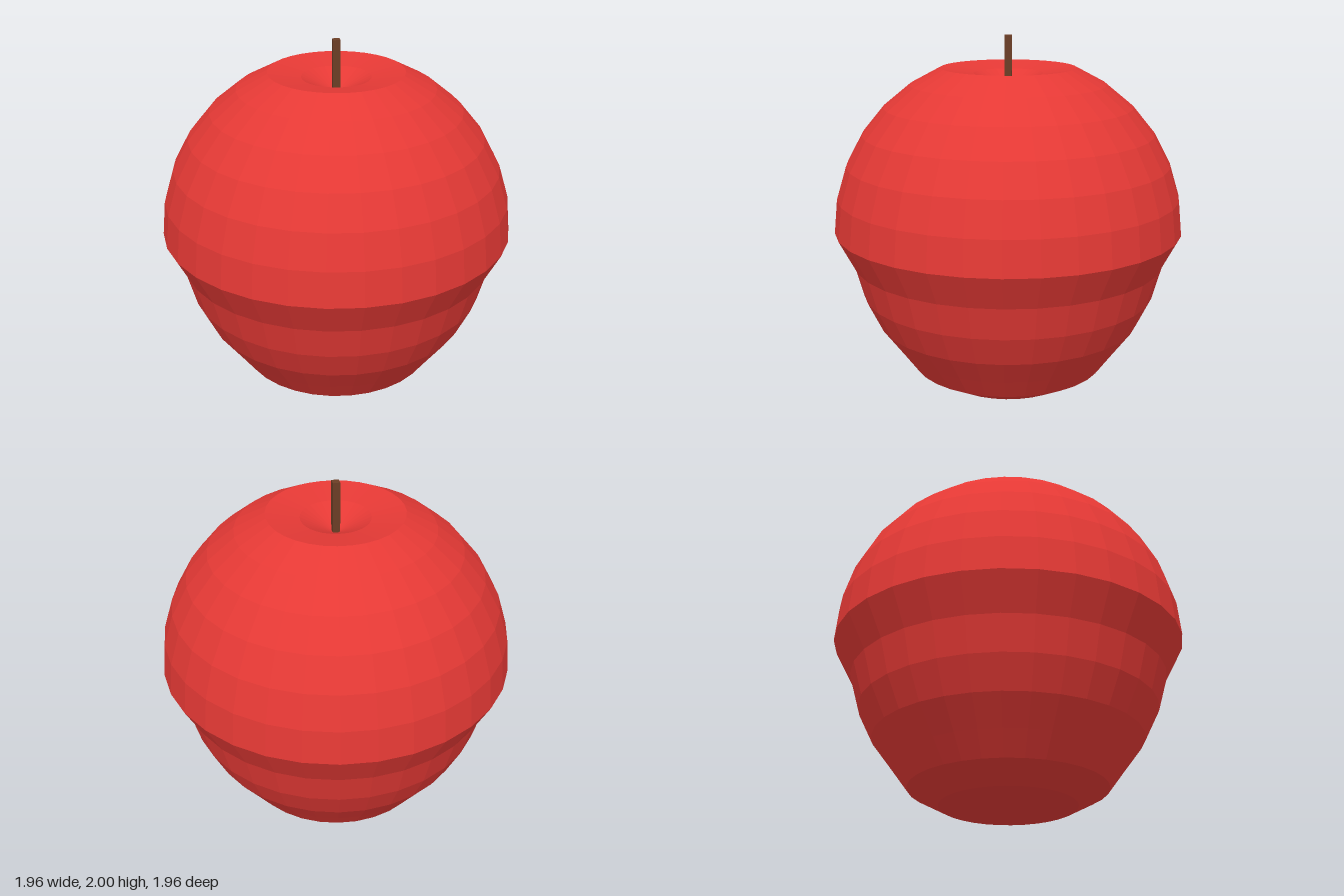
import * as THREE from 'three';

const RADIUS = 0.98, CENTER_Y = 0.92, RINGS = 16, SEGMENTS = 32;

// Sphere profile from bottom to top, narrowed below the middle and dimpled at both poles
function fruitProfile() {
  const points = [];
  for (let i = 0; i <= RINGS; i++) {
    const a = (i / RINGS) * Math.PI;
    let r = RADIUS * Math.sin(a);
    const y = CENTER_Y - RADIUS * Math.cos(a);
    if (i > 3 && i < RINGS / 2) r *= 0.915;
    points.push(new THREE.Vector2(r, y));
  }
  points[0].set(0, 0.03);
  points[1].y = 0;
  points[RINGS - 1].y = 1.795;
  points[RINGS].set(0, 1.7);
  return points;
}

export function createModel() {
  const group = new THREE.Group();
  group.name = 'apple';

  // Faceted fruit body
  const body = new THREE.Mesh(
    new THREE.LatheGeometry(fruitProfile(), SEGMENTS),
    new THREE.MeshStandardMaterial({ color: 0xe53935, flatShading: true })
  );
  body.name = 'fruit';
  group.add(body);

  // Square stem rooted in the upper dimple
  const bottom = 1.67, top = 2;
  const stem = new THREE.Mesh(
    new THREE.BoxGeometry(0.04, top - bottom, 0.04),
    new THREE.MeshStandardMaterial({ color: 0x6b3e26, flatShading: true })
  );
  stem.name = 'stem';
  stem.position.y = (top + bottom) / 2;
  group.add(stem);

  return group;
}
